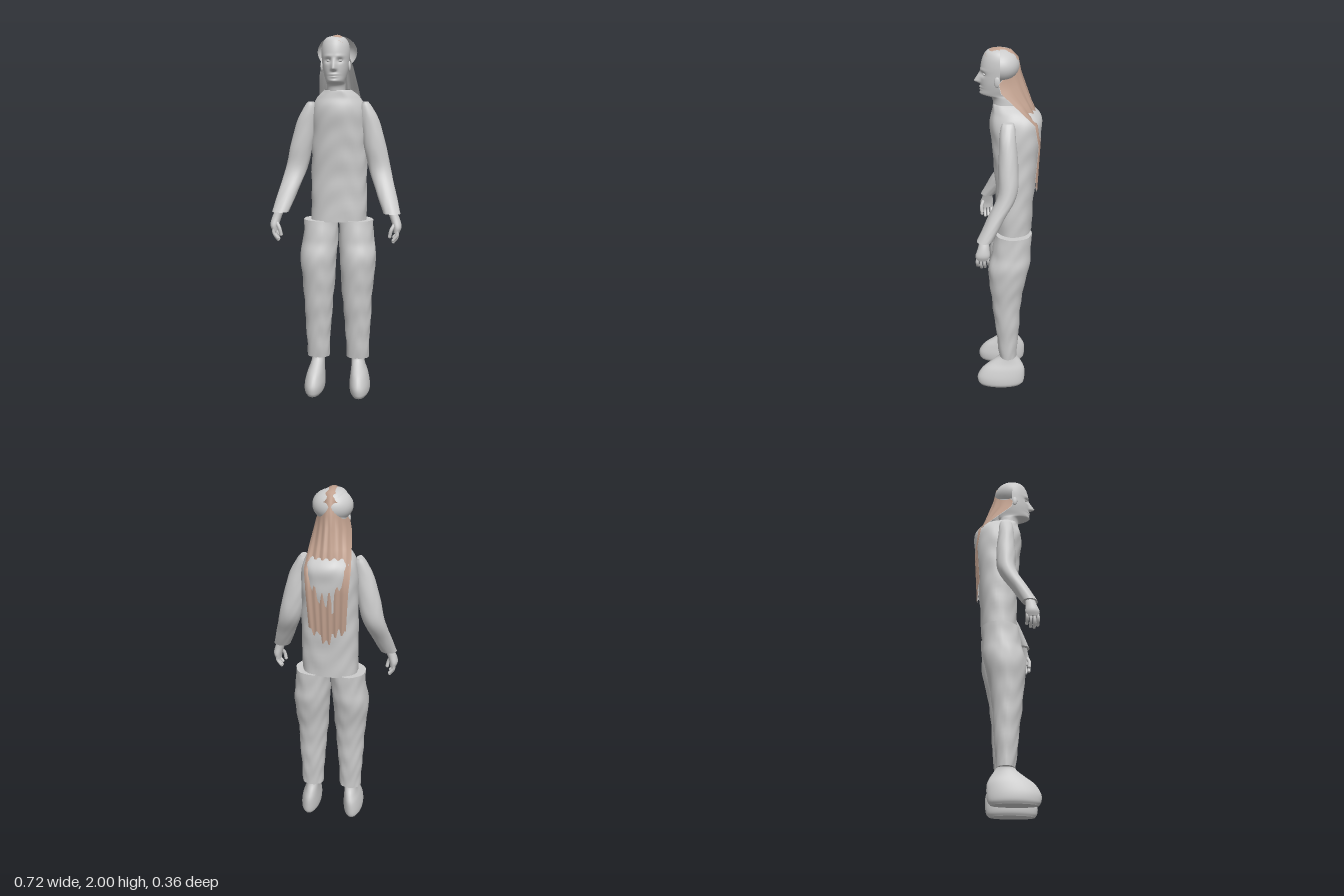
import * as THREE from 'three';

const skin = new THREE.MeshStandardMaterial({ color: 0xcccccc, side: THREE.DoubleSide });
skin.name = 'pale grey';
const hairOuter = new THREE.MeshStandardMaterial({ color: 0xc0a08e });
hairOuter.name = 'brown hair';
const OFF = 0.008; // the body sits slightly to its left

const mesh = (name, geometry, material = skin) => {
  const m = new THREE.Mesh(geometry, material);
  m.name = name;
  return m;
};

// Smooth skin through horizontal rings [x, y, z, rx, rz], listed bottom to top.
function loft(rings, { steps = 30, n = 32, power = 2, bottom = true, top = true, warp } = {}) {
  const centre = new THREE.CatmullRomCurve3(rings.map(r => new THREE.Vector3(r[0], r[1], r[2])), false, 'catmullrom');
  const radii = new THREE.CatmullRomCurve3(rings.map(r => new THREE.Vector3(r[3], r[4], 0)), false, 'catmullrom');
  const pos = [], idx = [];
  const soft = v => Math.sign(v) * Math.abs(v) ** (2 / power);
  for (let i = 0; i <= steps; i++) {
    const c = centre.getPoint(i / steps), r = radii.getPoint(i / steps);
    for (let j = 0; j < n; j++) {
      const a = j / n * Math.PI * 2;
      const p = new THREE.Vector3(c.x + r.x * soft(Math.cos(a)), c.y, c.z + r.y * soft(Math.sin(a)));
      if (warp) warp(p, a);
      pos.push(p.x, p.y, p.z);
      if (i < steps) {
        const k = (j + 1) % n, q = i * n;
        idx.push(q + j, q + n + j, q + k, q + k, q + n + j, q + n + k);
      }
    }
  }
  const cap = (row, up) => {
    const start = pos.length / 3, c = centre.getPoint(row / steps);
    for (let j = 0; j < n * 3; j++) pos.push(pos[row * n * 3 + j]);
    pos.push(c.x, c.y, c.z);
    for (let j = 0; j < n; j++) {
      const a = start + j, b = start + (j + 1) % n;
      idx.push(start + n, up ? b : a, up ? a : b);
    }
  };
  if (bottom) cap(0, false);
  if (top) cap(steps, true);
  const g = new THREE.BufferGeometry();
  g.setAttribute('position', new THREE.Float32BufferAttribute(pos, 3));
  g.setIndex(idx);
  g.computeVertexNormals();
  return g;
}

// Gentle cloth folds
const folds = amount => (p, a) => {
  const d = amount * Math.sin(p.y * 38 + 2 * Math.sin(a * 3)) * Math.sin(a * 4 + p.y * 9);
  p.x += d * Math.cos(a);
  p.z += d * Math.sin(a);
};

const bump = (x, y, sx, sy) => Math.exp(-((x / sx) ** 2) - (y / sy) ** 2);

// Nose, eye sockets, lips and chin pushed out of the head
function faceWarp(p, a) {
  if (Math.sin(a) < 0.3 || p.y < 1.74) return;
  const ridge = p.y > 1.822 ? Math.max(0, 1 - (p.y - 1.822) / 0.06) : Math.max(0, 1 - (1.822 - p.y) / 0.014);
  const x = Math.abs(p.x);
  p.z += 0.036 * ridge * Math.exp(-((x / 0.013) ** 2))
    - 0.014 * bump(x - 0.031, p.y - 1.865, 0.016, 0.012)
    + 0.005 * bump(x - 0.03, p.y - 1.888, 0.025, 0.008)
    + 0.009 * bump(x, p.y - 1.793, 0.022, 0.005)
    + 0.008 * bump(x, p.y - 1.78, 0.02, 0.005)
    + 0.006 * bump(x, p.y - 1.758, 0.02, 0.01);
}

function makeHead() {
  const g = new THREE.Group();
  g.name = 'head';
  g.add(mesh('headAndNeck', loft([
    [0, 1.64, 0.02, 0.055, 0.06], [0, 1.70, 0.02, 0.05, 0.058], [0, 1.738, 0.03, 0.05, 0.06],
    [0, 1.755, 0.052, 0.051, 0.088], [0, 1.785, 0.052, 0.06, 0.09], [0, 1.82, 0.05, 0.068, 0.094],
    [0, 1.86, 0.047, 0.073, 0.096], [0, 1.91, 0.045, 0.076, 0.096], [0, 1.955, 0.043, 0.07, 0.085],
    [0, 1.985, 0.045, 0.05, 0.06], [0, 1.998, 0.045, 0.008, 0.008],
  ], { steps: 80, n: 72, warp: faceWarp })));
  // Rounded half shell over the back of the head
  const shell = new THREE.SphereGeometry(1, 32, 20, Math.PI, Math.PI);
  shell.rotateY(Math.PI);
  shell.rotateY(Math.PI);
  const dome = mesh('backShell', shell);
  shell.computeBoundingBox();
  if (shell.boundingBox.max.z > 0.5) shell.rotateY(Math.PI);
  dome.scale.set(0.107, 0.087, 0.1);
  dome.position.set(0.008, 1.91, 0.04);
  g.add(dome);
  for (const s of [1, -1]) {
    const eye = mesh('eye', new THREE.SphereGeometry(0.011, 16, 12));
    eye.scale.set(1.1, 0.7, 1);
    eye.position.set(s * 0.031, 1.865, 0.119);
    const ear = mesh('ear', new THREE.SphereGeometry(0.02, 16, 12));
    ear.scale.set(0.4, 1.4, 0.8);
    ear.position.set(s * 0.075, 1.835, 0.055);
    g.add(eye, ear);
  }
  return g;
}

// Hair sheet from rows [centre y, centre z, half width, edge y, edge z], front to tip
function makeHair() {
  const rows = [
    [1.972, 0.118, 0.042, 1.95, 0.105], [1.998, 0.085, 0.042, 1.975, 0.075], [2.002, 0.04, 0.03, 1.99, 0.04],
    [1.99, -0.015, 0.03, 1.983, -0.01], [1.95, -0.054, 0.036, 1.945, -0.045],
    [1.88, -0.068, 0.09, 1.83, 0.045], [1.82, -0.085, 0.1, 1.785, 0.03], [1.72, -0.12, 0.112, 1.71, -0.05],
    [1.62, -0.163, 0.122, 1.62, -0.145], [1.5, -0.17, 0.112, 1.5, -0.165], [1.25, -0.155, 0.1, 1.26, -0.15],
  ];
  const cols = 24, tips = [0.02, 0, 0.035, -0.01, 0.01, -0.05, -0.03, -0.045, 0, 0.02, -0.01, 0.03];
  const sheet = (inset, flip) => {
    const pos = [], idx = [], last = rows.length - 1;
    rows.forEach(([yc, zc, w, ye, ze], i) => {
      for (let j = 0; j <= cols; j++) {
        const u = j / cols * 2 - 1, e = u * u;
        const strand = i > 5 ? 0.004 * (j % 4 < 2 ? 1 : -1) : 0;
        const y = yc + (ye - yc) * e + (i === last ? tips[Math.min(11, j >> 1)] : 0);
        pos.push(0.008 + u * (w - inset), y - (i < 5 ? inset : 0), zc + (ze - zc) * e + strand + (i > 3 ? inset : 0));
        if (i < last && j < cols) {
          const a = i * (cols + 1) + j, b = a + 1, c = a + cols + 1, d = c + 1;
          if (flip) idx.push(a, c, b, b, c, d);
          else idx.push(a, b, c, b, d, c);
        }
      }
    });
    const g = new THREE.BufferGeometry();
    g.setAttribute('position', new THREE.Float32BufferAttribute(pos, 3));
    g.setIndex(idx);
    g.computeVertexNormals();
    return g;
  };
  const g = new THREE.Group();
  g.name = 'longHair';
  g.add(mesh('hairOutside', sheet(0, false), hairOuter));
  // Pale lining on the side towards the face
  const lining = mesh('hairLining', sheet(0.002, true), skin.clone());
  lining.material = skin;
  g.add(lining);
  return g;
}

function makeArm(s) {
  const g = new THREE.Group();
  g.name = s > 0 ? 'leftArm' : 'rightArm';
  const P = (x, y, z) => new THREE.Vector3(s * x + OFF, y, z);
  const ring = ([x, ...r]) => [s * x + OFF, ...r];
  g.add(mesh('sleeve', loft([
    [0.306, 1.05, 0.12, 0.046, 0.042], [0.27, 1.16, 0.062, 0.054, 0.045], [0.232, 1.28, 0.002, 0.06, 0.05],
    [0.205, 1.4, -0.003, 0.062, 0.053], [0.175, 1.54, 0, 0.052, 0.045], [0.155, 1.615, 0, 0.034, 0.038],
    [0.15, 1.645, 0, 0.016, 0.03],
  ].map(ring), { warp: folds(0.0012) })));
  g.add(mesh('palm', loft([
    [0.333, 0.95, 0.132, 0.017, 0.034], [0.336, 0.98, 0.13, 0.024, 0.038],
    [0.325, 1.02, 0.125, 0.026, 0.03], [0.308, 1.06, 0.12, 0.024, 0.026],
  ].map(ring), { steps: 12, n: 20 })));
  // Four curled fingers, front to back
  for (let i = 0; i < 4; i++) {
    const z = 0.16 - i * 0.019, low = [0.012, 0, 0.004, 0.02][i];
    const path = new THREE.CatmullRomCurve3([
      P(0.336, 0.965, z - 0.002), P(0.336, 0.925 + low, z), P(0.316, 0.897 + low, z - 0.002)]);
    g.add(mesh('finger', new THREE.TubeGeometry(path, 10, 0.0088, 10)));
    const tip = mesh('fingertip', new THREE.SphereGeometry(0.0088, 10, 8));
    tip.position.copy(path.getPoint(1));
    g.add(tip);
  }
  const thumbPath = new THREE.CatmullRomCurve3([P(0.325, 1.0, 0.145), P(0.305, 0.965, 0.16), P(0.297, 0.93, 0.158)]);
  const thumbTip = mesh('thumbTip', new THREE.SphereGeometry(0.01, 10, 8));
  thumbTip.position.copy(thumbPath.getPoint(1));
  g.add(mesh('thumb', new THREE.TubeGeometry(thumbPath, 10, 0.01, 10)), thumbTip);
  return g;
}

function makeLeg(s) {
  const g = new THREE.Group();
  g.name = s > 0 ? 'leftLeg' : 'rightLeg';
  const ring = ([x, ...r]) => [s * x + OFF, ...r];
  g.add(mesh('trouserLeg', loft([
    [0.113, 0.195, 0, 0.061, 0.05], [0.112, 0.4, 0.004, 0.073, 0.068], [0.109, 0.6, 0.008, 0.087, 0.087],
    [0.112, 0.78, -0.004, 0.102, 0.113], [0.102, 0.88, -0.02, 0.098, 0.107], [0.099, 0.99, -0.03, 0.096, 0.1],
  ].map(ring), { steps: 44, warp: folds(0.003) })));
  g.add(mesh('foot', loft([
    [0.13, 0, 0.043, 0.046, 0.122], [0.13, 0.02, 0.042, 0.056, 0.135], [0.128, 0.06, 0.04, 0.057, 0.138],
    [0.124, 0.11, 0.026, 0.049, 0.122], [0.118, 0.15, 0.01, 0.04, 0.088], [0.114, 0.185, 0, 0.036, 0.055],
    [0.113, 0.21, 0, 0.038, 0.045],
  ].map(ring))));
  return g;
}

export function createModel() {
  const model = new THREE.Group();
  model.name = 'standingFigure';
  // Tunic with an open collar
  model.add(mesh('tunic', loft([
    [0.01, 0.985, -0.03, 0.154, 0.1], [0.01, 1.2, -0.037, 0.155, 0.105], [0.01, 1.4, -0.04, 0.152, 0.12],
    [0.01, 1.54, -0.042, 0.15, 0.135], [0.01, 1.62, -0.041, 0.142, 0.137], [0.009, 1.67, -0.03, 0.115, 0.115],
    [0.008, 1.7, -0.005, 0.082, 0.085], [0.006, 1.71, 0.005, 0.07, 0.072],
  ], { steps: 56, n: 48, power: 2.3, top: false, warp: folds(0.003) })));
  model.add(makeHead(), makeHair());
  for (const s of [1, -1]) model.add(makeArm(s), makeLeg(s));
  return model;
}
